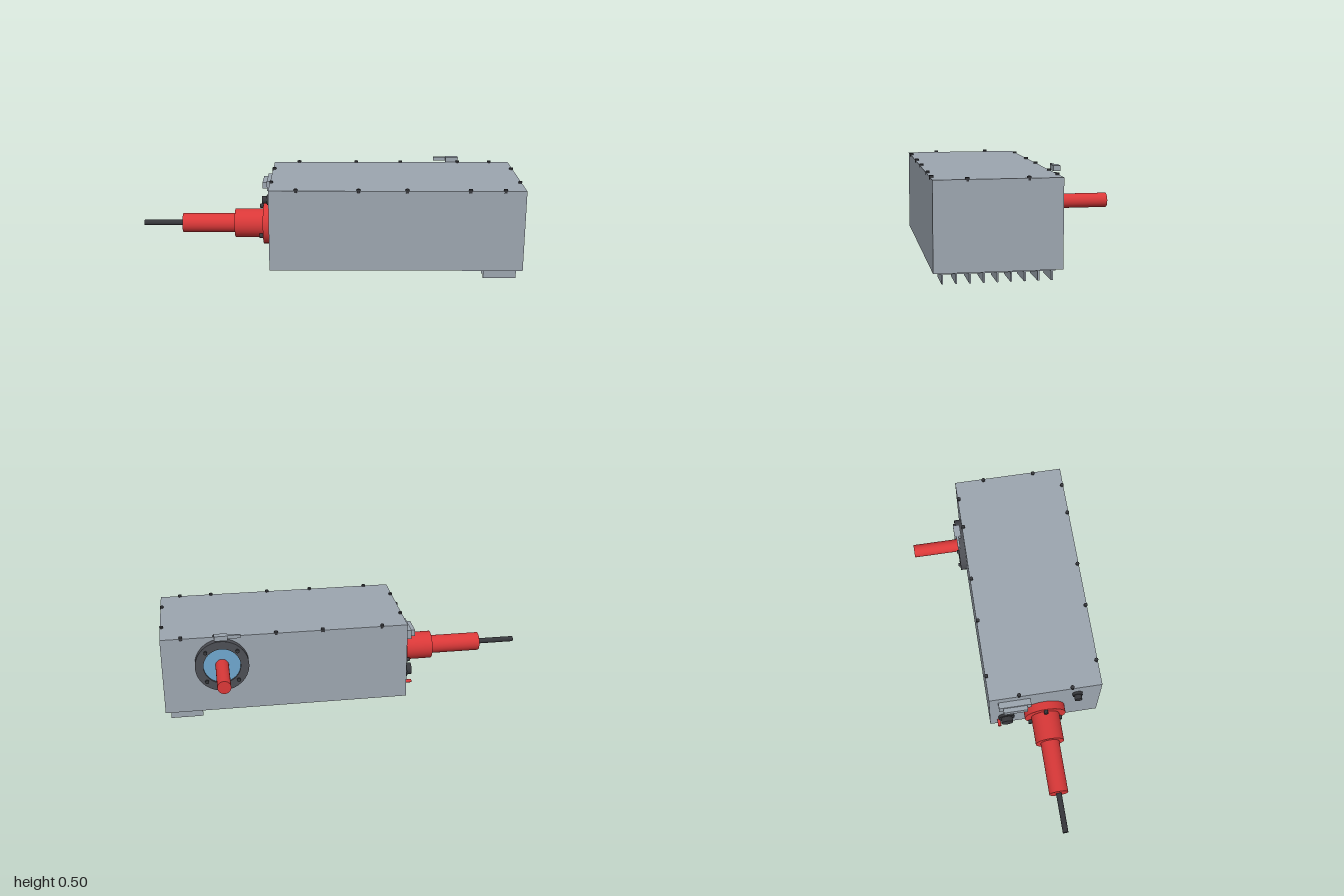
import * as THREE from 'three';

const mat = (name, color) => Object.assign(new THREE.MeshStandardMaterial({ color }), { name });

export function createModel() {
  const root = new THREE.Group();
  root.name = 'equipmentHousing';
  const grey = mat('housing grey', 0x9ca5af);
  const red = mat('red insulator', 0xd93838);
  const black = mat('black hardware', 0x36373b);
  const dark = mat('dark flange', 0x4c4e54);
  const blue = mat('blue window', 0x6ea6cc);

  const add = (name, geo, m) => {
    const mesh = new THREE.Mesh(geo, m);
    mesh.name = name;
    root.add(mesh);
    return mesh;
  };
  // Box given by its minimum and maximum on each axis
  const box = (name, m, x0, x1, y0, y1, z0, z1) =>
    add(name, new THREE.BoxGeometry(x1 - x0, y1 - y0, z1 - z0), m)
      .position.set((x0 + x1) / 2, (y0 + y1) / 2, (z0 + z1) / 2);
  // Cylinders running along each axis
  const cylX = (name, m, r, x0, x1, y, z, n = 40) =>
    add(name, new THREE.CylinderGeometry(r, r, x1 - x0, n).rotateZ(Math.PI / 2), m)
      .position.set((x0 + x1) / 2, y, z);
  const cylY = (name, m, r, y0, y1, x, z, n = 16) =>
    add(name, new THREE.CylinderGeometry(r, r, y1 - y0, n), m)
      .position.set(x, (y0 + y1) / 2, z);
  const cylZ = (name, m, r, z0, z1, x, y, n = 40) =>
    add(name, new THREE.CylinderGeometry(r, r, z1 - z0, n).rotateX(Math.PI / 2), m)
      .position.set(x, y, (z0 + z1) / 2);

  // Main housing and lid screws
  box('housing', grey, -0.31, 0.995, 0.055, 0.48, -0.16, 0.44);
  for (const x of [-0.172, 0.146, 0.393, 0.712, 0.888])
    for (const z of [-0.153, 0.433]) cylY('lidScrew', black, 0.01, 0.47, 0.489, x, z);
  for (const x of [-0.303, 0.987])
    for (const z of [0, 0.282]) cylY('lidScrew', black, 0.01, 0.47, 0.489, x, z);

  // Stepped bushing on the end face
  const by = 0.217, bz = 0.138;
  cylX('bushingFlange', red, 0.112, -0.355, -0.31, by, bz);
  cylX('bushingCollar', red, 0.077, -0.508, -0.35, by, bz);
  cylX('bushingSleeve', red, 0.051, -0.79, -0.5, by, bz);
  cylX('bushingRod', black, 0.015, -1, -0.78, by, bz, 24);
  for (let i = 0; i < 3; i++) {
    const a = Math.PI / 2 + i * Math.PI * 2 / 3;
    cylX('bushingBolt', black, 0.011, -0.374, -0.35, by + 0.095 * Math.sin(a), bz + 0.095 * Math.cos(a), 16);
  }

  // Rectangular plug socket, round connectors and small stud on the end face
  box('socketPlate', grey, -0.343, -0.31, 0.373, 0.425, -0.112, 0.06);
  box('socketShell', grey, -0.367, -0.34, 0.38, 0.415, -0.09, 0.038);
  cylX('knobBase', black, 0.027, -0.325, -0.31, 0.397, 0.312, 24);
  cylX('knob', black, 0.02, -0.35, -0.32, 0.397, 0.312, 24);
  cylX('connectorBase', black, 0.044, -0.325, -0.31, 0.175, -0.07);
  cylX('connectorCap', black, 0.032, -0.352, -0.32, 0.175, -0.07);
  cylX('stud', red, 0.009, -0.348, -0.31, 0.12, -0.112, 16);

  // Round port on the back: ring, window, insulated rod and bolts
  const px = 0.683, py = 0.327;
  const ring = new THREE.Shape().absarc(0, 0, 0.141, 0, Math.PI * 2);
  ring.holes.push(new THREE.Path().absarc(0, 0, 0.097, 0, Math.PI * 2, true));
  add('portRing', new THREE.ExtrudeGeometry(ring, { depth: 0.036, bevelEnabled: false, curveSegments: 48 }), dark)
    .position.set(px, py, -0.196);
  cylZ('portWindow', blue, 0.098, -0.185, -0.16, px, py, 48);
  cylZ('portRod', red, 0.035, -0.443, -0.18, px, py);
  for (const sx of [-1, 1])
    for (const sy of [-1, 1])
      cylZ('portBolt', black, 0.01, -0.206, -0.19, px + sx * 0.083, py + sy * 0.083, 16);

  // Small switch above the port
  box('switchBody', grey, 0.648, 0.717, 0.477, 0.503, -0.209, -0.173);
  box('switchLever', grey, 0.58, 0.65, 0.483, 0.501, -0.199, -0.187);

  // Mounting plate underneath
  box('mountPlate', grey, 0.165, 0.48, 0.028, 0.056, -0.018, 0.302);
  for (const x of [0.21, 0.435])
    for (const z of [0.03, 0.142, 0.254]) cylY('plateScrew', grey, 0.008, 0.025, 0.03, x, z);

  // Heat sink
  box('heatSinkBase', grey, 0.798, 0.968, 0.045, 0.056, -0.13, 0.411);
  for (let i = 0; i < 9; i++) {
    const z = -0.113 + i * 0.0636;
    box('heatSinkFin', grey, 0.798, 0.968, 0, 0.047, z - 0.004, z + 0.004);
  }
  return root;
}
